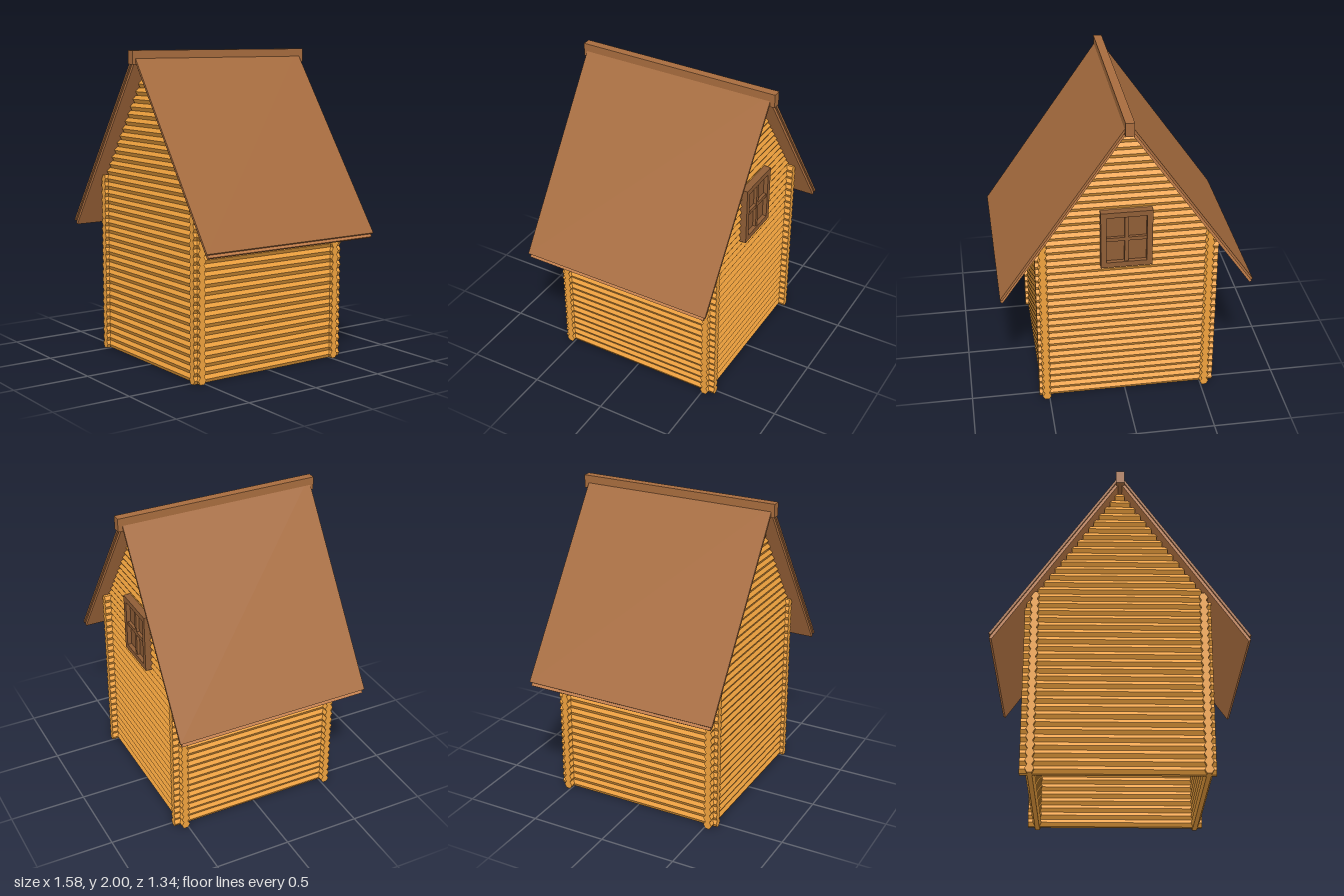
import * as THREE from 'three';

const material = (color) => new THREE.MeshStandardMaterial({ color, flatShading: true });

export function createModel() {
  const house = new THREE.Group();
  house.name = 'logCabin';

  const logMat = material(0xf0a23e);
  const roofMat = material(0xa76c3e);
  const underMat = material(0xc07c48);
  const windowMat = material(0x8f5d36);

  const add = (parent, name, geometry, mat, x = 0, y = 0, z = 0) => {
    const mesh = new THREE.Mesh(geometry, mat);
    mesh.name = name;
    mesh.position.set(x, y, z);
    parent.add(mesh);
    return mesh;
  };
  const addGroup = (name) => {
    const group = new THREE.Group();
    group.name = name;
    house.add(group);
    return group;
  };

  // Six-sided logs with flat tops and bottoms, pointed to the sides
  const pitch = 0.049;
  const radius = pitch / Math.sqrt(3);
  const logGeometry = (length, alongZ) => {
    const g = new THREE.CylinderGeometry(radius, radius, length, 6).rotateZ(Math.PI / 2);
    return alongZ ? g.rotateY(Math.PI / 2) : g;
  };

  // Roof slope
  const apexY = 1.989;
  const slope = 1.442;
  const underside = (y) => (apexY - y) / slope - 0.035;

  // Gable walls: full logs up to the eaves, then shortened to the roof
  for (const [name, z] of [['frontWall', 0.524], ['backWall', -0.518]]) {
    const wall = addGroup(name);
    for (let i = 0; i < 39; i++) {
      const y = (i + 0.5) * pitch;
      const half = underside(y + 0.008);
      if (half < 0.008) break;
      const x0 = Math.max(-0.585, -half);
      const x1 = Math.min(0.563, half);
      add(wall, 'gableLog', logGeometry(x1 - x0, false), logMat, (x0 + x1) / 2, y, z);
    }
  }

  // Side walls, crossing the gable walls at the corners
  for (const [name, x] of [['leftWall', 0.518], ['rightWall', -0.524]]) {
    const wall = addGroup(name);
    for (let i = 0; i < 24; i++) {
      add(wall, 'sideLog', logGeometry(1.15, true), logMat, x, (i + 0.5) * pitch, -0.005);
    }
  }

  // Roof: an outer sheet over a slightly longer, narrower inner layer
  const roof = addGroup('roof');
  const cos = 1 / Math.hypot(1, slope);
  const sin = slope * cos;
  const slab = (side, n0, n1, end, z0, z1) => {
    const point = (s, n) => new THREE.Vector2(side * (s * cos - n * sin), apexY - s * sin - n * cos);
    const shape = new THREE.Shape([
      point(n0 * slope, n0), point(end, n0), point(end, n1), point(n1 * slope, n1),
    ]);
    return new THREE.ExtrudeGeometry(shape, { depth: z1 - z0, bevelEnabled: false }).translate(0, 0, z0);
  };
  for (const [label, side] of [['left', 1], ['right', -1]]) {
    add(roof, label + 'RoofSheet', slab(side, 0, 0.015, 1.386, -0.638, 0.647), roofMat);
    add(roof, label + 'RoofUnderlay', slab(side, 0.015, 0.032, 1.404, -0.626, 0.635), underMat);
  }
  add(roof, 'ridgeBeam', new THREE.BoxGeometry(0.054, 0.085, 1.337), roofMat, 0, 1.9575, 0);

  // Four-pane window in the back gable
  const win = addGroup('backWindow');
  win.position.set(0, 1.175, -0.518);
  const w = 0.32, h = 0.385, bar = 0.035;
  add(win, 'windowPanel', new THREE.BoxGeometry(w - bar, h - bar, 0.07), windowMat);
  for (const s of [-1, 1]) {
    add(win, 'frameSide', new THREE.BoxGeometry(bar, h, 0.125), windowMat, s * (w - bar) / 2, 0, 0);
    add(win, 'frameRail', new THREE.BoxGeometry(w - 2 * bar, bar, 0.125), windowMat, 0, s * (h - bar) / 2, 0);
  }
  add(win, 'verticalGlazingBar', new THREE.BoxGeometry(0.024, h - 2 * bar, 0.11), windowMat);
  add(win, 'crossGlazingBar', new THREE.BoxGeometry(w - 2 * bar, 0.024, 0.108), windowMat);

  return house;
}
